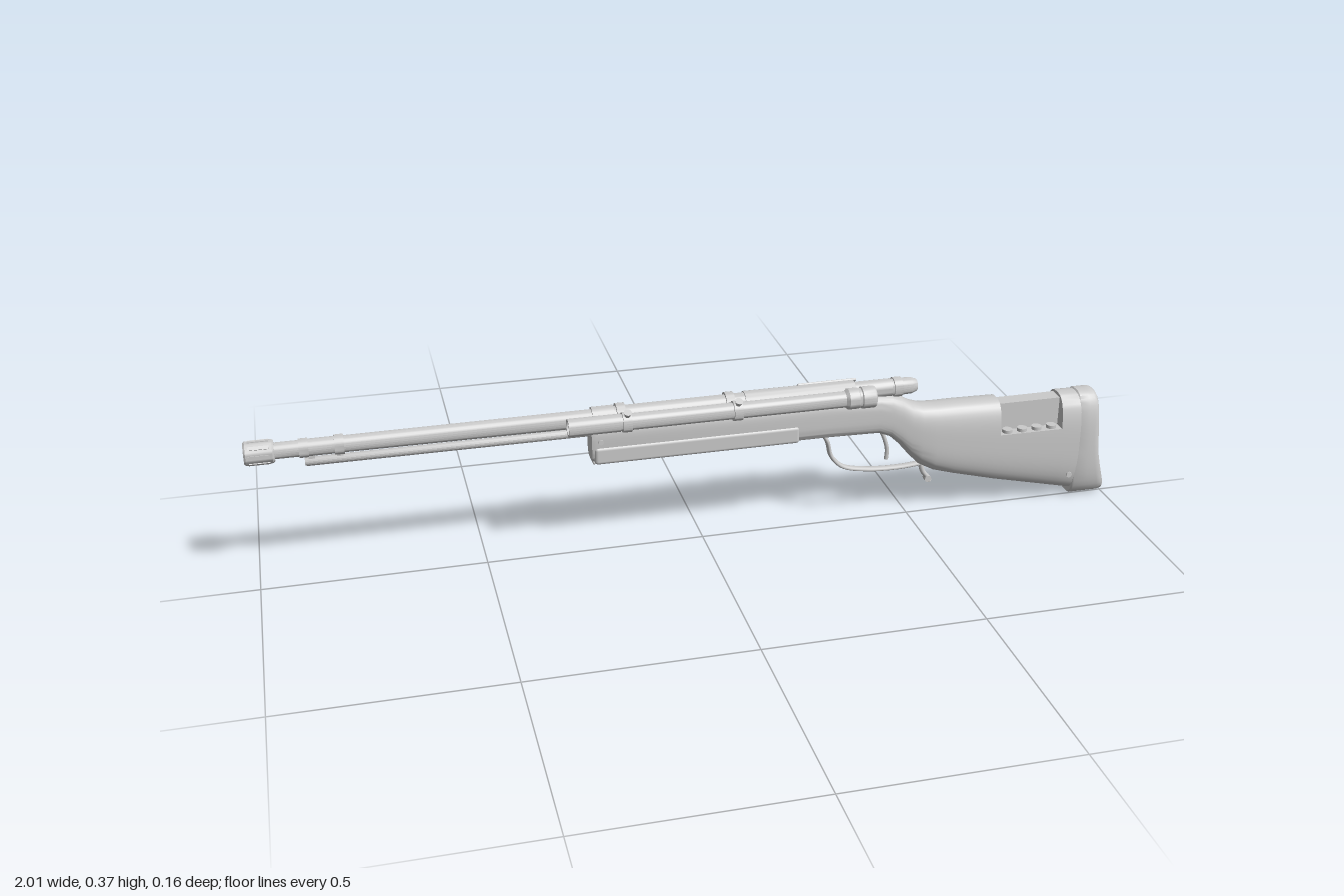
import * as THREE from 'three';
import { toCreasedNormals } from 'three/addons/utils/BufferGeometryUtils.js';
import { RoundedBoxGeometry } from 'three/addons/geometries/RoundedBoxGeometry.js';

const mat = new THREE.MeshStandardMaterial({ color: 0xcccccc, side: THREE.DoubleSide });
const BORE_Y = 0.327;

function add(parent, name, geo, x = 0, y = 0, z = 0) {
  const m = new THREE.Mesh(geo, mat);
  m.name = name;
  m.position.set(x, y, z);
  parent.add(m);
  return m;
}

// Round part along x from [x, radius] pairs
function turned(profile, sides = 28) {
  const g = new THREE.LatheGeometry(profile.map(([x, r]) => new THREE.Vector2(r, x)), sides);
  g.rotateZ(-Math.PI / 2);
  return toCreasedNormals(g, 0.6);
}

function tube(points, r, steps = 30) {
  const curve = new THREE.CatmullRomCurve3(points.map(p => new THREE.Vector3(...p)));
  return new THREE.TubeGeometry(curve, steps, r, 10);
}

// Closed cross-section: rounded oval, with an optional slim rib above the ledge
function section({ x, top, bot, w, n = 3, rib = 0, bend = 0 }) {
  const c = (top + bot) / 2, h = (top - bot) / 2, half = [];
  const ledge = Math.asin(THREE.MathUtils.clamp((0.195 - c) / h, -0.5, 0.6));
  const point = (a, cut) => {
    const t = Math.sin(a);
    let z = w * Math.pow(Math.max(0, 1 - Math.pow(Math.abs(t), n)), 1 / n), y = c + h * t;
    if (cut && rib) { z = Math.min(z, rib); y = Math.min(y, 0.264); }
    const d = Math.max(0, (0.2 - y) / 0.18);
    half.push([x + bend * d * d, y, z]);
  };
  for (let i = 0; i <= 12; i++) point(-Math.PI / 2 + (ledge + Math.PI / 2) * i / 12, false);
  for (let i = 0; i <= 10; i++) point(ledge + (Math.PI / 2 - ledge) * i / 10, true);
  const back = half.slice(1, -1).reverse().map(([px, y, z]) => [px, y, -z]);
  return [...half, ...back];
}

function loft(stations) {
  const rings = stations.map(section), n = rings[0].length, idx = [];
  for (let i = 0; i < rings.length - 1; i++) {
    for (let j = 0; j < n; j++) {
      const k = (j + 1) % n, a = i * n + j, b = i * n + k;
      idx.push(a, a + n, b, b, a + n, b + n);
    }
  }
  const last = (rings.length - 1) * n;
  for (let j = 1; j < n - 1; j++) idx.push(0, j, j + 1, last, last + j + 1, last + j);
  const g = new THREE.BufferGeometry();
  g.setAttribute('position', new THREE.Float32BufferAttribute(rings.flat(2), 3));
  g.setIndex(idx);
  return toCreasedNormals(g, 0.65);
}

export function createModel() {
  const root = new THREE.Group();
  root.name = 'scopedRifle';
  const gun = new THREE.Group();
  gun.name = 'rifle';
  gun.position.z = -0.018;
  root.add(gun);

  // Wooden stock with a cartridge recess on both sides of the comb
  const st = (x, top, bot, w, n, rib) => ({ x, top, bot, w, n, rib });
  add(gun, 'stock', loft([
    st(-0.255, 0.311, 0.229, 0.029, 4), st(-0.245, 0.316, 0.225, 0.032, 4),
    st(0.3, 0.317, 0.224, 0.032, 4), st(0.42, 0.315, 0.221, 0.033, 3.6),
    st(0.45, 0.311, 0.208, 0.033, 3.2), st(0.475, 0.302, 0.184, 0.034),
    st(0.5, 0.287, 0.154, 0.037), st(0.525, 0.279, 0.128, 0.041),
    st(0.56, 0.277, 0.109, 0.043), st(0.61, 0.277, 0.094, 0.045),
    st(0.715, 0.275, 0.066, 0.047), st(0.715, 0.275, 0.066, 0.047, 3, 0.019),
    st(0.87, 0.272, 0.03, 0.049, 3, 0.019), st(0.87, 0.272, 0.03, 0.049),
    st(0.918, 0.271, 0.019, 0.05),
  ]));

  // Concave rubber butt pad
  const pad = (x, s, bend) => ({ x, top: 0.145 + 0.129 * s, bot: 0.145 - 0.141 * s, w: 0.05 * s, n: 3, bend });
  add(gun, 'buttPad', loft([
    pad(0.914, 0.97, 0), pad(0.918, 1, 0), pad(0.94, 1, 0.014),
    pad(0.954, 1, 0.03), pad(0.961, 0.975, 0.036), pad(0.965, 0.92, 0.038),
  ]));
  for (const s of [-1, 1]) {
    // Cartridges standing in the recess ledge
    for (let i = 0; i < 4; i++) {
      add(gun, 'cartridge', new THREE.CylinderGeometry(0.012, 0.012, 0.012, 18), 0.737 + i * 0.037, 0.197, s * 0.032);
    }
    const screw = add(gun, 'stockScrew', new THREE.CylinderGeometry(0.007, 0.007, 0.006, 16), 0.9, 0.07, s * 0.046);
    screw.rotation.x = Math.PI / 2;
    const pin = add(gun, 'forendPin', new THREE.CylinderGeometry(0.006, 0.006, 0.006, 16), -0.235, 0.28, s * 0.031);
    pin.rotation.x = Math.PI / 2;
  }

  // Raised lower panel of the forend and floor plate
  add(gun, 'forendPanel', new RoundedBoxGeometry(0.475, 0.042, 0.07, 3, 0.008), -0.0125, 0.246, 0);
  add(gun, 'floorPlate', new RoundedBoxGeometry(0.225, 0.008, 0.04, 2, 0.003), -0.14, 0.225, 0);

  // Barrel with hollow muzzle, collars and receiver
  add(gun, 'barrel', turned([
    [-0.93, 0], [-0.93, 0.009], [-1, 0.009], [-1, 0.023], [-0.996, 0.026], [-0.94, 0.026], [-0.936, 0.023],
    [-0.936, 0.018], [-0.885, 0.018], [-0.885, 0.021], [-0.865, 0.021], [-0.865, 0.019], [-0.81, 0.019],
    [-0.81, 0.022], [-0.79, 0.022], [-0.79, 0.0185], [-0.25, 0.02], [-0.25, 0.025], [-0.2, 0.025],
    [-0.2, 0.022], [0.1, 0.023], [0.1, 0.026], [0.36, 0.026], [0.36, 0.021], [0.45, 0.021], [0.45, 0],
  ]), 0, BORE_Y);
  for (let i = 0; i < 8; i++) {
    const a = i * Math.PI / 4;
    const rib = add(gun, 'muzzleRib', new THREE.BoxGeometry(0.045, 0.004, 0.008), -0.968,
      BORE_Y + 0.0255 * Math.cos(a), 0.0255 * Math.sin(a));
    rib.rotation.x = a;
  }
  add(gun, 'underBarrelRod', turned([[-0.875, 0], [-0.875, 0.008], [-0.87, 0.01], [-0.25, 0.01], [-0.25, 0]], 18), 0, 0.294);
  for (const x of [-0.8, -0.86]) add(gun, 'rodBracket', new THREE.BoxGeometry(0.014, 0.025, 0.012), x, 0.3, 0);

  // Bolt: shroud, handle and side port cover
  add(gun, 'boltShroud', turned([
    [0.4, 0], [0.4, 0.02], [0.455, 0.02], [0.455, 0.023], [0.475, 0.023], [0.475, 0.02],
    [0.5, 0.019], [0.513, 0.014], [0.513, 0.007], [0.508, 0.007], [0.508, 0],
  ]), 0, BORE_Y);
  add(gun, 'boltHandle', tube([[0.4, 0.322, -0.012], [0.402, 0.312, -0.028], [0.407, 0.288, -0.043], [0.413, 0.259, -0.053]], 0.006));
  add(gun, 'boltKnob', new THREE.SphereGeometry(0.0105, 18, 12), 0.414, 0.256, -0.055);
  const port = add(gun, 'portCover', new RoundedBoxGeometry(0.14, 0.006, 0.02, 2, 0.002), 0.3, BORE_Y + 0.019, -0.017);
  port.rotation.x = -0.73;

  // Trigger, guard strap and sling hook
  const guard = add(gun, 'triggerGuard', tube([
    [0.29, 0.226, 0], [0.302, 0.205, 0], [0.312, 0.168, 0], [0.34, 0.138, 0], [0.4, 0.123, 0], [0.48, 0.119, 0], [0.535, 0.123, 0],
  ], 0.005, 50));
  guard.scale.z = 2;
  add(gun, 'trigger', tube([[0.43, 0.225, 0], [0.443, 0.195, 0], [0.45, 0.168, 0], [0.449, 0.143, 0]], 0.005));
  add(gun, 'slingHook', tube([[0.535, 0.125, 0], [0.543, 0.1, 0], [0.553, 0.086, 0], [0.561, 0.072, 0]], 0.006));
  const hookEye = add(gun, 'slingEye', new THREE.CylinderGeometry(0.008, 0.008, 0.016, 16), 0.555, 0.081, 0);
  hookEye.rotation.x = Math.PI / 2;

  // Side-mounted scope
  const scope = new THREE.Group();
  scope.name = 'scope';
  scope.position.set(0, 0.343, 0.055);
  root.add(scope);
  add(scope, 'scopeTube', turned([
    [-0.3, 0], [-0.3, 0.015], [-0.315, 0.0155], [-0.315, 0.02], [-0.2, 0.02], [-0.2, 0.0185], [0.315, 0.0185],
    [0.322, 0.024], [0.345, 0.024], [0.347, 0.0225], [0.352, 0.0225], [0.354, 0.025], [0.383, 0.025],
    [0.386, 0.023], [0.386, 0.021], [0.38, 0.02], [0.38, 0],
  ]));

  // Two clamp rings with arms to the barrel and thumb screws
  for (const x of [-0.185, 0.065]) {
    const ring = r => turned([[-0.01, 0], [-0.01, r], [0.01, r], [0.01, 0]]);
    add(scope, 'scopeRing', ring(0.0225), x);
    add(gun, 'barrelRing', ring(0.028), x, BORE_Y);
    const arm = add(root, 'mountArm', new RoundedBoxGeometry(0.016, 0.019, 0.05, 2, 0.003), x, 0.335, 0.019);
    arm.rotation.x = -0.2;
    const screw = add(scope, 'clampScrew', new THREE.CylinderGeometry(0.009, 0.006, 0.012, 14), x, 0.025, 0.014);
    screw.rotation.x = 0.5;
  }
  return root;
}
